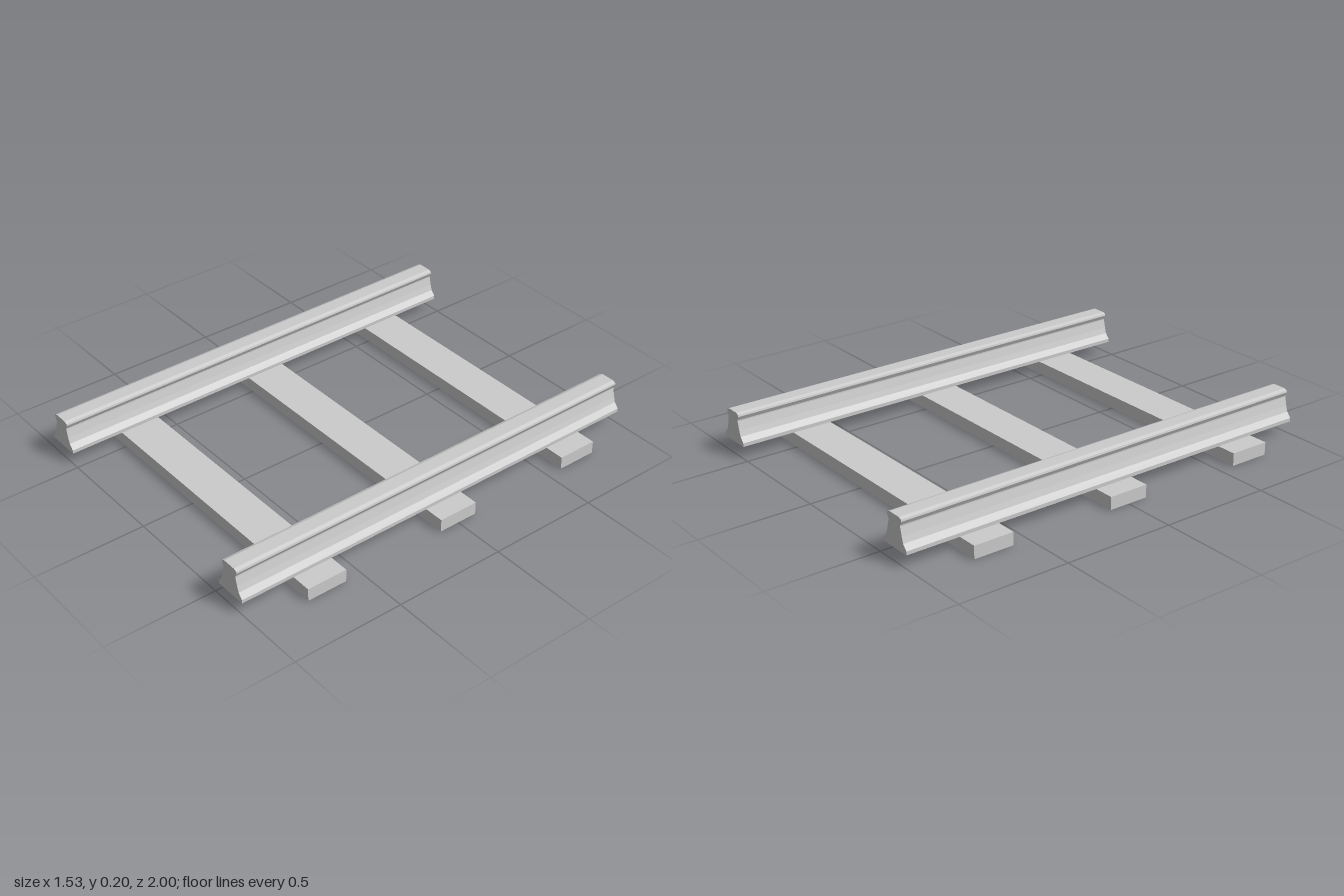
import * as THREE from 'three';

const material = new THREE.MeshStandardMaterial({ color: 0xcccccc, flatShading: true });

// Half of the rail cross-section, foot to crown: [half width, height]
const railHalf = [
  [0.075, 0.057], [0.075, 0.073], [0.055, 0.096], [0.047, 0.122],
  [0.038, 0.16], [0.038, 0.165], [0.047, 0.183], [0.045, 0.191], [0.03, 0.197],
];

function makeRail() {
  const right = railHalf.map(([x, y]) => new THREE.Vector2(x, y));
  const left = railHalf.map(([x, y]) => new THREE.Vector2(-x, y)).reverse();
  const geometry = new THREE.ExtrudeGeometry(new THREE.Shape([...right, ...left]), {
    depth: 2, bevelEnabled: false,
  });
  geometry.translate(0, 0, -1);
  return new THREE.Mesh(geometry, material);
}

export function createModel() {
  const model = new THREE.Group();
  model.name = 'railwayTrack';

  // Two parallel rails
  for (const side of [-1, 1]) {
    const rail = makeRail();
    rail.name = side > 0 ? 'leftRail' : 'rightRail';
    rail.position.x = side * 0.601;
    model.add(rail);
  }

  // Three cross ties under the rails
  const tieGeometry = new THREE.BoxGeometry(1.532, 0.057, 0.184);
  ['backTie', 'middleTie', 'frontTie'].forEach((name, i) => {
    const tie = new THREE.Mesh(tieGeometry, material);
    tie.name = name;
    tie.position.set(0, 0.0285, (i - 1) * 0.667);
    model.add(tie);
  });

  return model;
}
